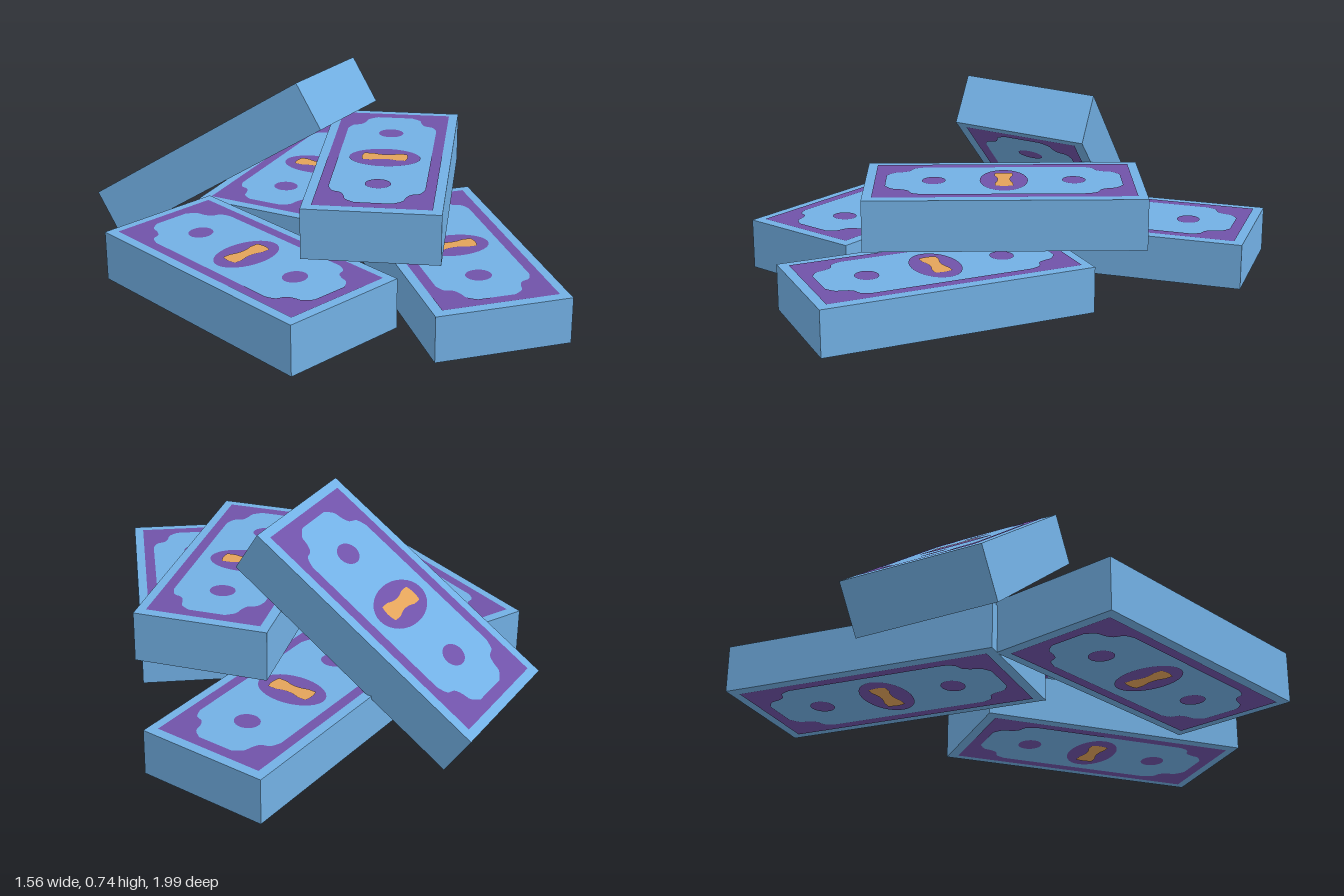
import * as THREE from 'three';

const W = 0.48, L = 0.99; // width and length of a banknote

const paperBlue = new THREE.MeshStandardMaterial({ color: 0x72b0e4 });
const printPurple = new THREE.MeshStandardMaterial({ color: 0x7052a8 });
const sealOrange = new THREE.MeshStandardMaterial({ color: 0xe2a35a });
paperBlue.name = 'paperBlue';
printPurple.name = 'printPurple';
sealOrange.name = 'sealOrange';

function ellipse(x, y, rx, ry) {
  const s = new THREE.Shape();
  s.absellipse(x, y, rx, ry, 0, Math.PI * 2);
  return s;
}

// Printed border: a rectangle whose opening has wavy corners
function borderShape() {
  const x = W / 2 - 0.034, y = L / 2 - 0.034;
  const shape = new THREE.Shape([[-x, -y], [x, -y], [x, y], [-x, y]].map(p => new THREE.Vector2(...p)));
  const corner = new THREE.SplineCurve([
    [0.168, 0.29], [0.152, 0.325], [0.122, 0.338], [0.107, 0.365], [0.098, 0.396], [0.066, 0.42],
  ].map(p => new THREE.Vector2(...p))).getPoints(20);
  const flip = (pts, sx, sy) => pts.map(p => new THREE.Vector2(p.x * sx, p.y * sy));
  const back = [...corner].reverse();
  shape.holes.push(new THREE.Path([
    ...corner, ...flip(back, -1, 1), ...flip(corner, -1, -1), ...flip(back, 1, -1),
  ]));
  return shape;
}

// Central mark: a bar with flared ends
function sealShape() {
  const s = new THREE.Shape();
  s.moveTo(-0.077, -0.032);
  s.quadraticCurveTo(-0.09, 0, -0.077, 0.032);
  s.lineTo(-0.045, 0.032);
  s.quadraticCurveTo(0, 0.012, 0.045, 0.032);
  s.lineTo(0.077, 0.032);
  s.quadraticCurveTo(0.09, 0, 0.077, -0.032);
  s.lineTo(0.045, -0.032);
  s.quadraticCurveTo(0, -0.012, -0.045, -0.032);
  s.closePath();
  return s;
}

const printGeo = new THREE.ShapeGeometry([
  borderShape(),
  ellipse(0, 0, 0.13, 0.086),
  ellipse(0, 0.25, 0.046, 0.042),
  ellipse(0, -0.25, 0.046, 0.042),
], 16);
const sealGeo = new THREE.ShapeGeometry(sealShape(), 10);

// One bundle of notes, printed on both faces
function makeBundle(name, thickness) {
  const bundle = new THREE.Group();
  bundle.name = name;
  const add = (geo, mat, part, parent) => {
    const m = new THREE.Mesh(geo, mat);
    m.name = part;
    parent.add(m);
    return m;
  };
  add(new THREE.BoxGeometry(W, thickness, L), paperBlue, 'noteStack', bundle);
  for (const side of [1, -1]) {
    const face = new THREE.Group();
    face.name = side > 0 ? 'topPrint' : 'bottomPrint';
    add(printGeo, printPurple, 'borderAndOvals', face).position.z = 0.002;
    add(sealGeo, sealOrange, 'centreMark', face).position.z = 0.005;
    face.rotation.x = -side * Math.PI / 2;
    face.position.y = side * thickness / 2;
    bundle.add(face);
  }
  return bundle;
}

export function createModel() {
  const model = new THREE.Group();
  model.name = 'moneyPile';

  // Flat bundles: name, x, z, bottom, top, turn
  const flat = [
    ['sideBundle', -0.54, 0.02, 0.036, 0.221, 0],
    ['frontBundle', 0.055, 0.442, 0.036, 0.203, -0.478],
    ['backBundle', 0.228, -0.458, 0.036, 0.203, -1.222],
    ['upperBundle', 0.072, 0.083, 0.244, 0.429, -0.884],
  ];
  for (const [name, x, z, y0, y1, turn] of flat) {
    const b = makeBundle(name, y1 - y0);
    b.position.set(x, (y0 + y1) / 2, z);
    b.rotation.y = turn;
    model.add(b);
  }

  // Bundle leaning on the pile
  const leaning = makeBundle('leaningBundle', 0.186);
  const along = new THREE.Vector3(0.343, 0.54, 0.751).normalize();
  const up = along.clone().cross(new THREE.Vector3(0.45, -0.042, -0.169)).normalize();
  const across = up.clone().cross(along);
  leaning.quaternion.setFromRotationMatrix(new THREE.Matrix4().makeBasis(across, up, along));
  leaning.position.set(-0.155, 0.376, -0.484);
  model.add(leaning);

  return model;
}
